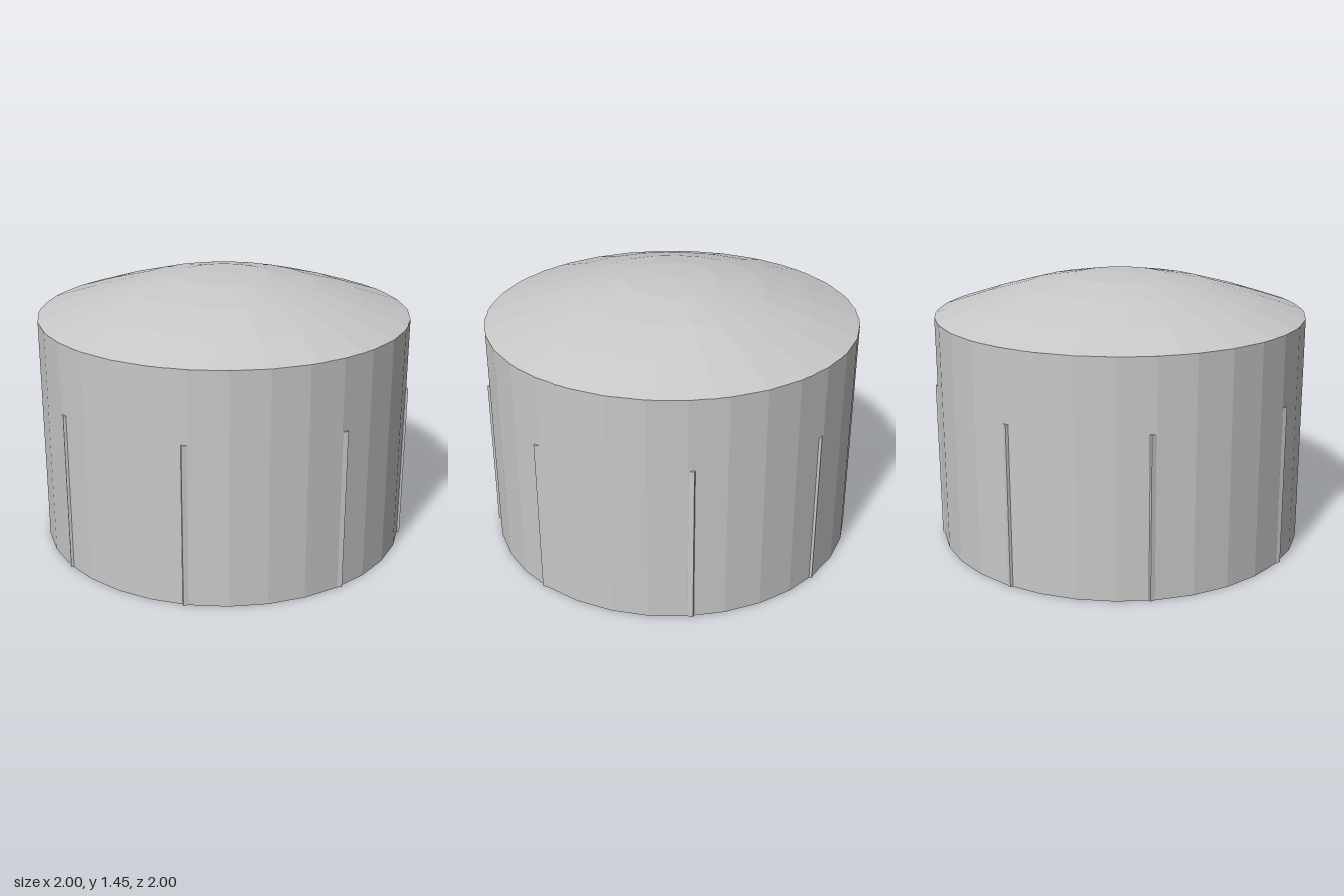
import * as THREE from 'three';

export function createModel() {
  const group = new THREE.Group();
  const grey = new THREE.MeshStandardMaterial({ color: 0xc8c8c8, flatShading: true });
  grey.name = 'plain grey';

  const wallHeight = 1.238, roofRise = 0.216;
  const panelHeight = 0.86, panelWidth = 0.828, panelReach = 0.922;

  const add = (name, geometry, y) => {
    const mesh = new THREE.Mesh(geometry, grey);
    mesh.name = name;
    mesh.position.y = y;
    group.add(mesh);
    return mesh;
  };

  // Closed round wall with 32 sides
  add('tankWall', new THREE.CylinderGeometry(1, 1, wallHeight, 32), wallHeight / 2);

  // Shallow roof: four rings following a cosine curve, 24 sides
  const profile = [];
  for (let i = 4; i >= 0; i--) {
    const r = i / 4;
    profile.push(new THREE.Vector2(r, roofRise * Math.cos(r * Math.PI / 2)));
  }
  add('domedRoof', new THREE.LatheGeometry(profile, 24), wallHeight);

  // Two crossing blocks whose corners break through the wall as eight thin ribs
  for (const [name, turn] of [['frontBackPanels', 0], ['sidePanels', Math.PI / 2]]) {
    const block = add(name, new THREE.BoxGeometry(panelWidth, panelHeight, panelReach * 2), panelHeight / 2);
    block.rotation.y = turn;
  }

  return group;
}
